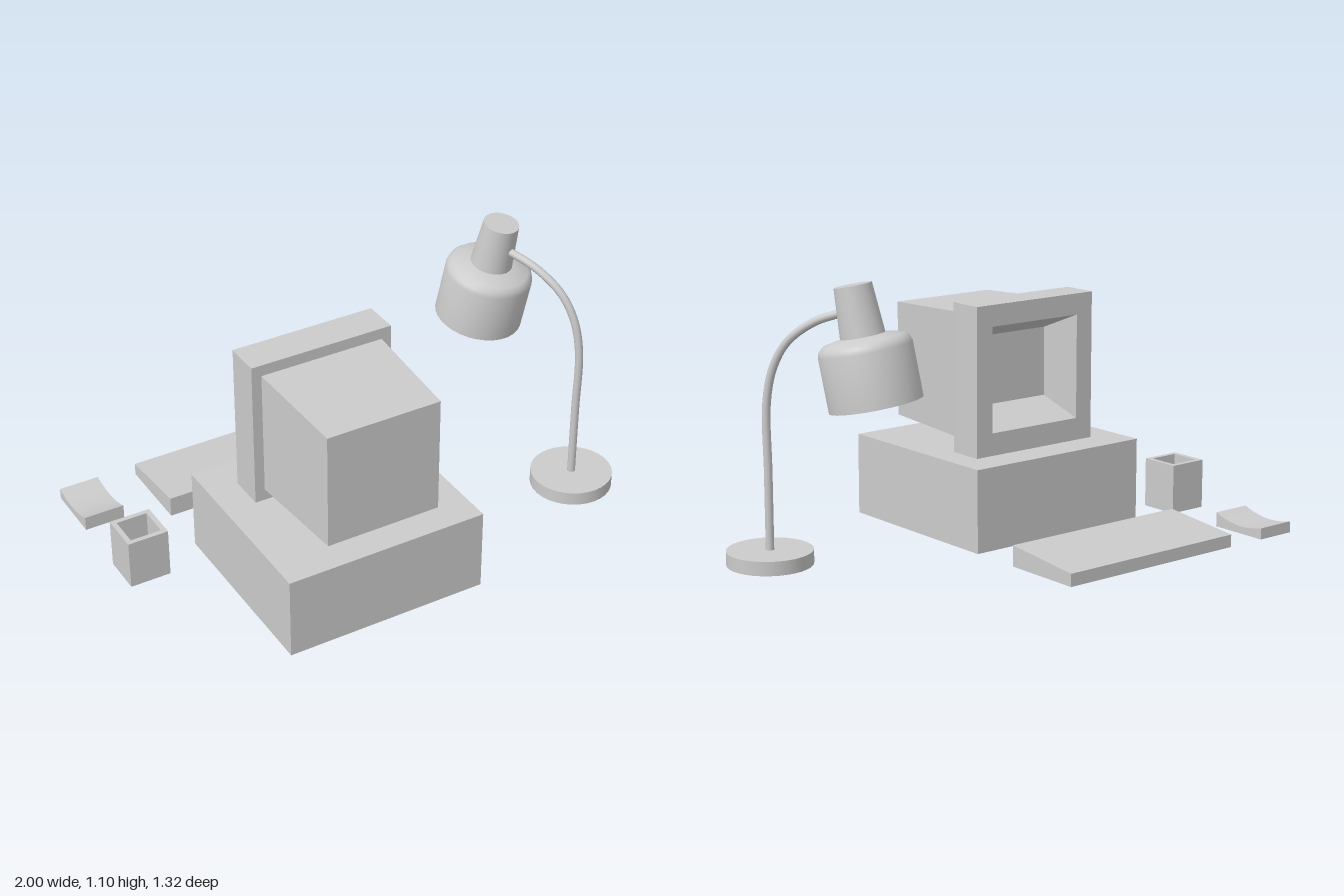
import * as THREE from 'three';
import { toCreasedNormals } from 'three/addons/utils/BufferGeometryUtils.js';

const grey = new THREE.MeshStandardMaterial({ color: 0xcccccc });
const greyDouble = new THREE.MeshStandardMaterial({ color: 0xcccccc, side: THREE.DoubleSide });

function part(parent, name, geometry, material = grey) {
  const mesh = new THREE.Mesh(geometry, material);
  mesh.name = name;
  parent.add(mesh);
  return mesh;
}

function group(parent, name) {
  const g = new THREE.Group();
  g.name = name;
  parent.add(g);
  return g;
}

// Box given by its limits on each axis
function boxBetween(x0, x1, y0, y1, z0, z1) {
  return new THREE.BoxGeometry(x1 - x0, y1 - y0, z1 - z0)
    .translate((x0 + x1) / 2, (y0 + y1) / 2, (z0 + z1) / 2);
}

function rectPoints(x0, x1, y0, y1) {
  return [[x0, y0], [x1, y0], [x1, y1], [x0, y1]].map(([x, y]) => new THREE.Vector2(x, y));
}

// Rectangular plate with a rectangular hole, extruded along +z
function framePlate(outer, inner, depth) {
  const shape = new THREE.Shape(rectPoints(...outer));
  shape.holes.push(new THREE.Path(rectPoints(...inner).reverse()));
  return new THREE.ExtrudeGeometry(shape, { depth, bevelEnabled: false });
}

// Side profile in (z, y), extruded across from x0 to x1
function sideExtrude(shape, x0, x1) {
  return new THREE.ExtrudeGeometry(shape, { depth: x1 - x0, bevelEnabled: false, curveSegments: 10 })
    .rotateY(-Math.PI / 2).translate(x1, 0, 0);
}

// Tapered rectangular tube from z0 to z1, open at z0 and closed at z1
function taperedTub(rect0, z0, rect1, z1) {
  const a = rectPoints(...rect0).map(p => [p.x, p.y, z0]);
  const b = rectPoints(...rect1).map(p => [p.x, p.y, z1]);
  const pos = [];
  const quad = (p, q, r, s) => pos.push(...p, ...q, ...r, ...p, ...r, ...s);
  for (let i = 0; i < 4; i++) {
    const j = (i + 1) % 4;
    quad(a[i], a[j], b[j], b[i]);
  }
  quad(...b);
  const geo = new THREE.BufferGeometry();
  geo.setAttribute('position', new THREE.Float32BufferAttribute(pos, 3));
  geo.computeVertexNormals();
  return geo;
}

function buildComputer(root) {
  const computer = group(root, 'computer');
  part(computer, 'computerCase', boxBetween(-0.67, 0.15, 0, 0.33, -0.12, 0.655));

  // Monitor: bezel, sunken screen and tapered rear housing
  const monitor = group(computer, 'monitor');
  const opening = [-0.467, -0.037, 0.42, 0.84];
  part(monitor, 'bezel', framePlate([-0.545, 0.04, 0.33, 0.925], opening, 0.145))
    .position.z = 0.02;
  part(monitor, 'screenRecess',
    taperedTub(opening, 0.021, [-0.442, -0.062, 0.49, 0.77], 0.19), greyDouble);
  part(monitor, 'rearHousing',
    taperedTub([-0.505, 0, 0.377, 0.88], 0.165, [-0.485, -0.02, 0.395, 0.862], 0.608), greyDouble);
}

function buildDeskItems(root) {
  // Wedge-shaped keyboard
  const wedge = new THREE.Shape([[-0.66, 0], [-0.33, 0], [-0.33, 0.083], [-0.66, 0.05]]
    .map(([z, y]) => new THREE.Vector2(z, y)));
  part(root, 'keyboard', sideExtrude(wedge, -0.67, 0.15));

  // Mouse with a dished top
  const dish = new THREE.Shape();
  dish.moveTo(-0.66, 0);
  dish.lineTo(-0.415, 0);
  dish.lineTo(-0.415, 0.058);
  dish.quadraticCurveTo(-0.53, 0.008, -0.66, 0.045);
  dish.closePath();
  part(root, 'mouse', toCreasedNormals(sideExtrude(dish, -1, -0.835), 0.6));

  // Square pen cup
  const cup = group(root, 'penCup');
  const walls = framePlate([-1, -0.835, 0, 0.165], [-0.98, -0.855, 0.02, 0.145], 0.2);
  part(cup, 'cupWalls', walls.rotateX(-Math.PI / 2));
  part(cup, 'cupFloor', boxBetween(-0.985, -0.85, 0, 0.02, -0.15, -0.015));
}

function buildLamp(root) {
  const lamp = group(root, 'deskLamp');
  const baseX = 0.833, baseZ = 0.275;
  part(lamp, 'lampBase', new THREE.CylinderGeometry(0.165, 0.165, 0.055, 32))
    .position.set(baseX, 0.0275, baseZ);

  // Arm: straight pole bending over towards the shade, as (reach, height)
  const armPoints = [[0, 0.05], [0, 0.35], [0, 0.62], [0.03, 0.755], [0.09, 0.855], [0.2, 0.935], [0.34, 0.985]]
    .map(([r, y]) => new THREE.Vector3(baseX - 0.5 * r, y, baseZ - 0.866 * r));
  const armCurve = new THREE.CatmullRomCurve3(armPoints, false, 'centripetal');
  part(lamp, 'lampArm', new THREE.TubeGeometry(armCurve, 48, 0.016, 12));

  // Shade: closed bell with a narrow neck, tilted along its axis
  const bottom = new THREE.Vector3(0.622, 0.651, -0.124);
  const top = new THREE.Vector3(0.664, 1.083, -0.046);
  const length = bottom.distanceTo(top);
  const profile = [[0, 0], [0.174, 0], [0.174, 0.205], [0.168, 0.225], [0.152, 0.24],
    [0.083, 0.255], [0.07, length], [0, length]].map(([r, y]) => new THREE.Vector2(r, y));
  const shade = part(lamp, 'lampShade',
    toCreasedNormals(new THREE.LatheGeometry(profile, 32), 0.6));
  shade.position.copy(bottom);
  shade.quaternion.setFromUnitVectors(new THREE.Vector3(0, 1, 0), top.sub(bottom).normalize());
}

export function createModel() {
  const root = new THREE.Group();
  root.name = 'deskComputerSet';
  buildComputer(root);
  buildDeskItems(root);
  buildLamp(root);
  return root;
}
